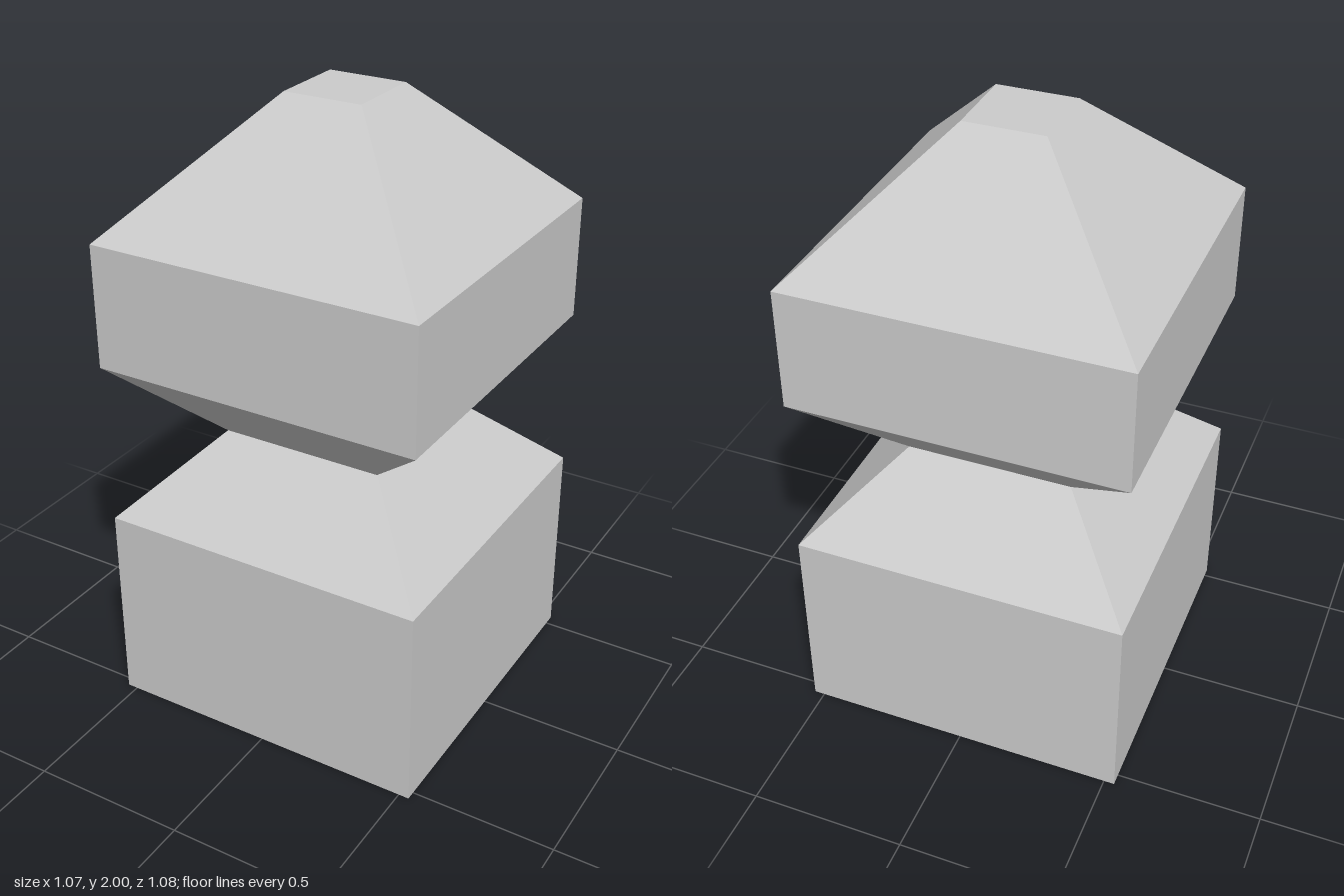
import * as THREE from 'three';

// Square cross-sections: [height, half width, z centre]
const NECK = [0.932, 0.267, 0.004];
const BASE = [[0, 0.534, -0.0045], [0.663, 0.534, -0.0045], NECK];
const HEAD = [NECK, [1.198, 0.534, 0.0045], [1.594, 0.534, 0.0045], [2, 0.127, 0.0035]];

// Corners run counter-clockwise seen from above
const CORNERS = [[-1, 1], [1, 1], [1, -1], [-1, -1]];

// Joins square sections with flat faces, closing the chosen ends
function loftSquares(name, sections, capBottom, capTop) {
  const rings = sections.map(([y, h, cz]) => CORNERS.map(([sx, sz]) => [sx * h, y, cz + sz * h]));
  const positions = [];
  const quad = (a, b, c, d) => positions.push(...a, ...b, ...c, ...a, ...c, ...d);
  for (let i = 0; i < rings.length - 1; i++) {
    const low = rings[i], high = rings[i + 1];
    for (let k = 0; k < 4; k++) {
      const n = (k + 1) % 4;
      quad(low[k], low[n], high[n], high[k]);
    }
  }
  if (capBottom) quad(...[...rings[0]].reverse());
  if (capTop) quad(...rings[rings.length - 1]);

  const geometry = new THREE.BufferGeometry();
  geometry.setAttribute('position', new THREE.Float32BufferAttribute(positions, 3));
  geometry.computeVertexNormals();
  const material = new THREE.MeshStandardMaterial({ color: 0xcccccc, flatShading: true });
  const mesh = new THREE.Mesh(geometry, material);
  mesh.name = name;
  return mesh;
}

export function createModel() {
  const model = new THREE.Group();
  model.name = 'squarePost';
  // Square base tapering up to the neck
  model.add(loftSquares('base', BASE, true, false));
  // Flared head with a truncated pyramid top
  model.add(loftSquares('head', HEAD, false, true));
  return model;
}
